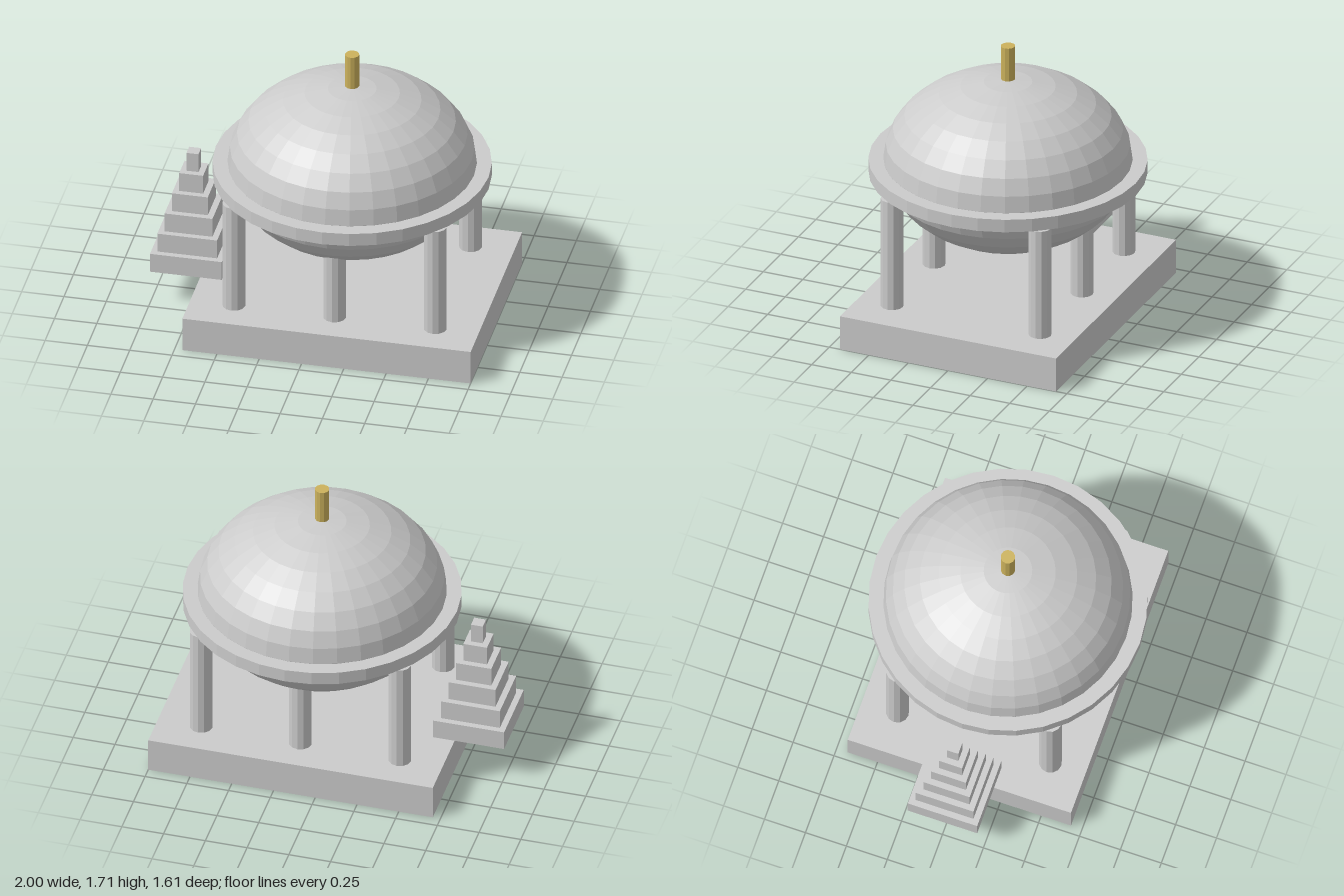
import * as THREE from 'three';

const CX = 0.148; // axis of the tank and base
const BASE_TOP = 0.212;

export function createModel() {
  const group = new THREE.Group();
  const grey = new THREE.MeshStandardMaterial({ color: 0xcccccc, flatShading: true });
  const gold = new THREE.MeshStandardMaterial({ color: 0xccb25c, flatShading: true });

  const add = (name, geometry, x, y, z, material = grey) => {
    const mesh = new THREE.Mesh(geometry, material);
    mesh.name = name;
    mesh.position.set(x, y, z);
    group.add(mesh);
    return mesh;
  };

  // Rectangular slab
  add('base', new THREE.BoxGeometry(1.704, BASE_TOP, 1.364), CX, BASE_TOP / 2, 0);

  // Flattened spherical tank with a flat collar below its equator
  add('tank', new THREE.SphereGeometry(0.72, 32, 16), CX, 0.981, 0).scale.y = 0.7;
  add('collar', new THREE.CylinderGeometry(0.806, 0.806, 0.08, 32), CX, 0.94, 0);

  // Two rows of three columns; the middle ones run up into the tank
  const columnHeight = 0.9 - BASE_TOP;
  const columnGeometry = new THREE.CylinderGeometry(0.067, 0.067, columnHeight, 12);
  for (const dx of [-0.595, 0, 0.595]) {
    for (const z of [-0.467, 0.467]) {
      add('column', columnGeometry, CX + dx, BASE_TOP + columnHeight / 2, z);
    }
  }

  // Gold post just above the crown
  add('finial', new THREE.CylinderGeometry(0.042, 0.042, 0.21, 12), CX, 1.6, 0, gold);

  // Stepped stack of square tiers overhanging the side of the base
  const stack = new THREE.Group();
  stack.name = 'steppedTower';
  const tiers = 6, tierHeight = 0.12;
  for (let i = 0; i < tiers; i++) {
    const width = 0.0707 * (tiers - i);
    const tier = new THREE.Mesh(new THREE.BoxGeometry(width, tierHeight, width), grey);
    tier.name = 'tier';
    tier.position.y = tierHeight * (i + 0.5);
    stack.add(tier);
  }
  stack.position.set(-0.788, BASE_TOP, 0);
  group.add(stack);

  return group;
}
